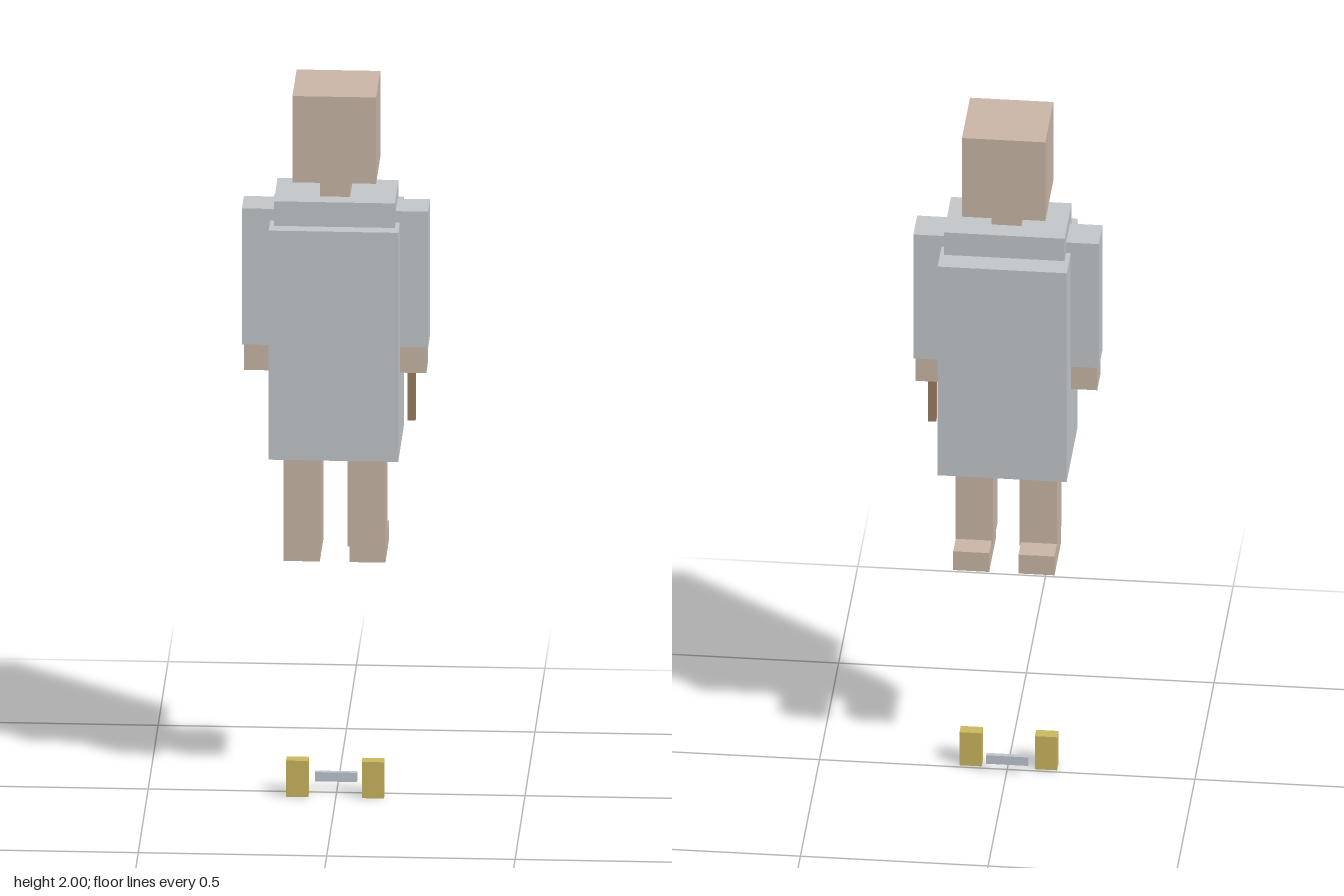
import * as THREE from 'three';

export function createModel() {
  const model = new THREE.Group();
  model.name = 'figure';

  const material = (name, color) => {
    const m = new THREE.MeshStandardMaterial({ color });
    m.name = name;
    return m;
  };
  const skin = material('skin', 0xc9b5a6);
  const cloth = material('grey cloth', 0xc2c6c9);
  const wood = material('brown wood', 0x9a7c62);
  const yellow = material('yellow', 0xc9b75e);
  const metal = material('pale metal', 0xbec5d0);

  // Box given by its extents along each axis
  const box = (name, mat, [x0, x1], [y0, y1], [z0, z1]) => {
    const mesh = new THREE.Mesh(new THREE.BoxGeometry(x1 - x0, y1 - y0, z1 - z0), mat);
    mesh.position.set((x0 + x1) / 2, (y0 + y1) / 2, (z0 + z1) / 2);
    mesh.name = name;
    model.add(mesh);
  };

  // Head, neck and gown
  box('head', skin, [-0.111, 0.111], [1.757, 2], [-0.093, 0.116]);
  box('neck', skin, [-0.041, 0.039], [1.68, 1.757], [-0.027, 0.058]);
  box('shoulders', cloth, [-0.161, 0.16], [1.6, 1.698], [-0.081, 0.103]);
  box('gown', cloth, [-0.173, 0.171], [0.984, 1.629], [-0.143, 0.141]);

  // Paired limbs: inner and outer x, mirrored about a slightly shifted middle
  for (const [side, s] of [['left', 1], ['right', -1]]) {
    const span = (inner, outer, mid = -0.001) =>
      [mid + s * inner, mid + s * outer].sort((a, b) => a - b);
    box(side + 'Sleeve', cloth, span(0.152, 0.247), [1.278, 1.661], [-0.038, 0.06]);
    box(side + 'Hand', skin, span(0.157, 0.242), [1.205, 1.278], [-0.031, 0.056]);
    box(side + 'Leg', skin, span(0.035, 0.135, -0.002), [0.719, 0.984], [-0.042, 0.074]);
    box(side + 'Foot', skin, span(0.039, 0.135, -0.002), [0.672, 0.73], [-0.107, 0.064]);
    box(side + 'Block', yellow, span(0.071, 0.13, -0.002), [0, 0.102], [0.009, 0.042]);
  }

  // Stick held in the left hand
  box('stick', wood, [0.19, 0.211], [1.06, 1.206], [0.005, 0.026]);

  // Bar between the two blocks
  box('bar', metal, [-0.058, 0.054], [0.027, 0.053], [-0.021, -0.008]);

  return model;
}
